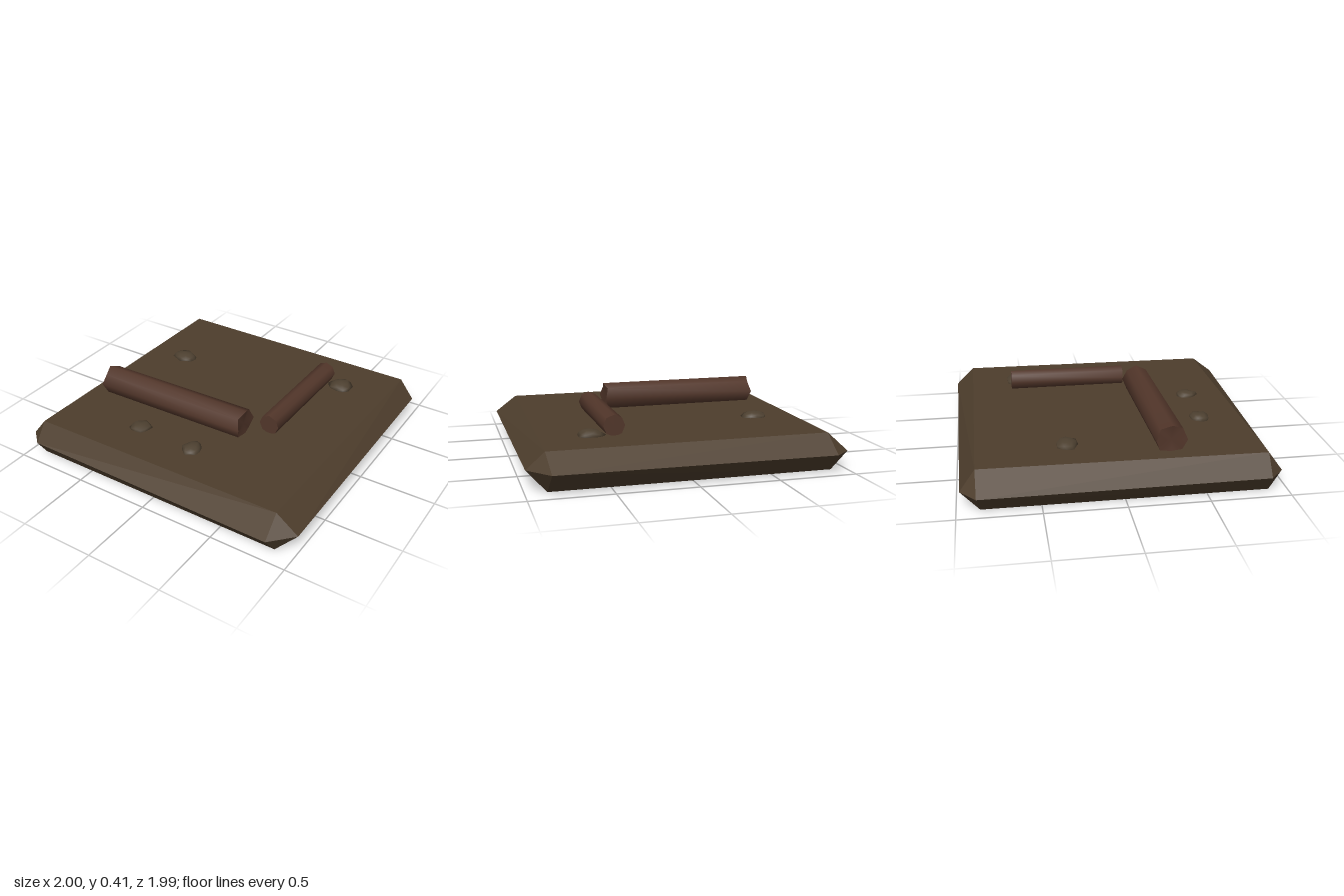
import * as THREE from 'three';
import { mergeVertices, toCreasedNormals } from 'three/addons/utils/BufferGeometryUtils.js';

const earth = new THREE.MeshStandardMaterial({ color: 0x4d3d2c });
const bark = new THREE.MeshStandardMaterial({ color: 0x52362a });
const rock = new THREE.MeshStandardMaterial({ color: 0x4d4030 });

function addMesh(group, name, geometry, material) {
  const mesh = new THREE.Mesh(geometry, material);
  mesh.name = name;
  group.add(mesh);
  return mesh;
}

// Slab: four-cornered faces above and below an eight-cornered rim.
function slabGeometry() {
  const top = [[-0.86, -0.88], [0.88, -0.88], [0.855, 0.85], [-0.89, 0.875]]
    .map(([x, z]) => [x, 0.247, z]);
  const bottom = [[-0.9, -0.86], [0.87, -0.86], [0.87, 0.885], [-0.9, 0.885]]
    .map(([x, z]) => [x, 0.004, z]);
  // Two rim points belong to each corner, in the same turning order.
  const rim = [[-1, -0.88], [-0.89, -0.975], [0.86, -1], [0.99, -0.85],
    [1, 0.85], [0.865, 0.99], [-0.89, 0.965], [-0.99, 0.875]]
    .map(([x, z]) => [x, 0.13 + 0.008 * x, z]);
  const points = [];
  const tri = (a, b, c) => points.push(...a, ...b, ...c);
  const quad = (a, b, c, d) => { tri(a, b, c); tri(a, c, d); };
  quad(top[3], top[2], top[1], top[0]);
  quad(...bottom);
  for (let i = 0; i < 4; i++) {
    const j = (i + 1) % 4;
    const a = rim[2 * i], b = rim[2 * i + 1], c = rim[2 * j];
    tri(top[i], b, a);
    tri(bottom[i], a, b);
    quad(top[i], top[j], c, b);
    quad(bottom[i], b, c, bottom[j]);
  }
  const geometry = new THREE.BufferGeometry();
  geometry.setAttribute('position', new THREE.Float32BufferAttribute(points, 3));
  geometry.computeVertexNormals();
  return geometry;
}

// Log along local y; every second end corner is drawn in by `notch`.
function logGeometry(radius, length, notch) {
  const geometry = new THREE.CylinderGeometry(radius, radius, length, 8);
  const p = geometry.attributes.position;
  for (let i = 0; i < p.count; i++) {
    const angle = Math.atan2(p.getX(i), p.getZ(i));
    const step = Math.round(angle / (Math.PI / 4));
    const centre = Math.hypot(p.getX(i), p.getZ(i)) < 0.001;
    if (centre || Math.abs(step) % 2 === 1) p.setY(i, p.getY(i) - Math.sign(p.getY(i)) * notch);
  }
  return toCreasedNormals(geometry, 0.9);
}

// Stone: a flattened ball with a repeatable bumpy surface.
function stoneGeometry(rx, ry, rz, seed) {
  let geometry = new THREE.IcosahedronGeometry(1, 1);
  geometry.deleteAttribute('normal');
  geometry.deleteAttribute('uv');
  geometry = mergeVertices(geometry, 0.001);
  const p = geometry.attributes.position;
  for (let i = 0; i < p.count; i++) {
    const h = Math.sin((i + 1) * 12.9898 + seed * 78.233) * 43758.5453;
    const k = 0.8 + 0.3 * (h - Math.floor(h));
    p.setXYZ(i, p.getX(i) * k * rx, p.getY(i) * k * ry, p.getZ(i) * k * rz);
  }
  geometry.computeVertexNormals();
  return geometry;
}

export function createModel() {
  const model = new THREE.Group();
  model.name = 'groundTile';
  addMesh(model, 'slab', slabGeometry(), earth);

  // Long log across the front
  const longLog = addMesh(model, 'longLog', logGeometry(0.097, 1.09, 0.02), bark);
  longLog.rotation.set(0, 0.02, Math.PI / 2);
  longLog.position.set(-0.245, 0.317, 0.29);

  // Short log running front to back
  const shortLog = addMesh(model, 'shortLog', logGeometry(0.068, 0.8, 0), bark);
  shortLog.rotation.x = Math.PI / 2;
  shortLog.position.set(0.42, 0.307, -0.205);

  // Half-buried stones: x, z, then radii
  [
    [-0.6, -0.32, 0.09, 0.04, 0.07],
    [0.56, -0.565, 0.09, 0.045, 0.075],
    [-0.31, 0.59, 0.073, 0.038, 0.07],
    [0.1, 0.605, 0.066, 0.036, 0.075],
  ].forEach(([x, z, rx, ry, rz], i) => {
    addMesh(model, 'stone' + (i + 1), stoneGeometry(rx, ry, rz, i + 1), rock)
      .position.set(x, 0.247, z);
  });
  return model;
}
